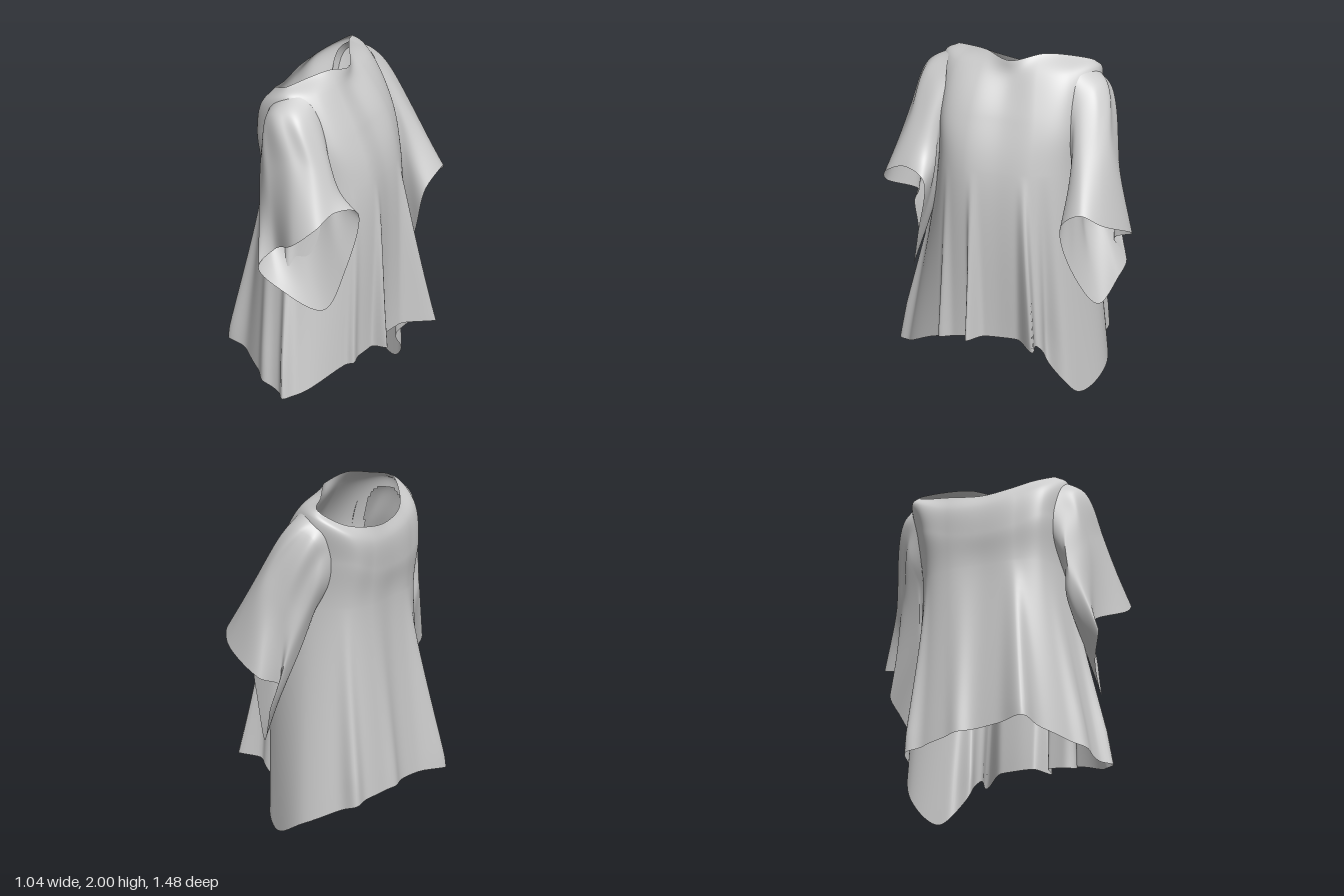
import * as THREE from 'three';

const cloth = new THREE.MeshStandardMaterial({ color: 0xcccccc, side: THREE.DoubleSide });

// Smooth open tube of cloth through closed rings of matching control points.
function loft(name, rings, cols, rows, shape, { flip = false, hole = () => false } = {}) {
  const loops = rings.map(r => new THREE.CatmullRomCurve3(r.map(p => new THREE.Vector3(...p)), true));
  const pos = [], index = [];
  for (let i = 0; i < cols; i++) {
    const column = new THREE.CatmullRomCurve3(loops.map(l => l.getPoint(i / cols)));
    for (let j = 0; j <= rows; j++) {
      const p = column.getPoint(j / rows);
      shape(p, i / cols, j / rows);
      pos.push(p.x, p.y, p.z);
      if (j === rows || hole(p)) continue;
      const a = i * (rows + 1) + j, b = ((i + 1) % cols) * (rows + 1) + j;
      if (flip) index.push(a, a + 1, b, b, a + 1, b + 1);
      else index.push(a, b, a + 1, b, b + 1, a + 1);
    }
  }
  const geo = new THREE.BufferGeometry();
  geo.setAttribute('position', new THREE.Float32BufferAttribute(pos, 3));
  geo.setIndex(index);
  geo.computeVertexNormals();
  const mesh = new THREE.Mesh(geo, cloth);
  mesh.name = name;
  return mesh;
}

// Rings run +x, +z, -x, -z in twelve steps, from the neckline to the hem.
const neck = [[.09, 1.97, 0], [.04, 2, .15], [-.04, 1.98, .27], [-.12, 1.95, .37],
  [-.23, 1.89, .28], [-.3, 1.83, .16], [-.32, 1.8, 0], [-.32, 1.82, -.2],
  [-.25, 1.87, -.38], [-.12, 1.95, -.44], [-.07, 1.98, -.32], [0, 2, -.18]];
const shoulder = [[.1, 1.89, 0], [.1, 1.91, .17], [.05, 1.91, .33], [-.1, 1.91, .44],
  [-.28, 1.82, .36], [-.34, 1.75, .2], [-.355, 1.72, 0], [-.355, 1.73, -.2],
  [-.31, 1.81, -.39], [-.12, 1.91, -.48], [.05, 1.91, -.35], [.1, 1.91, -.17]];
const chest = [[.23, 1.66, 0], [.24, 1.66, .2], [.17, 1.65, .37], [-.08, 1.65, .45],
  [-.31, 1.63, .36], [-.355, 1.57, .2], [-.36, 1.55, 0], [-.355, 1.57, -.2],
  [-.32, 1.63, -.36], [-.08, 1.65, -.46], [.17, 1.65, -.37], [.24, 1.66, -.2]];
const waist = [[.33, 1.35, 0], [.33, 1.35, .2], [.23, 1.35, .36], [-.05, 1.35, .44],
  [-.28, 1.35, .35], [-.34, 1.35, .2], [-.34, 1.35, 0], [-.34, 1.35, -.2],
  [-.28, 1.35, -.35], [-.05, 1.35, -.44], [.22, 1.35, -.36], [.32, 1.35, -.2]];
const hem = [[.33, .35, 0], [.32, .33, .18], [.24, .27, .4], [.03, .14, .62],
  [-.24, .21, .5], [-.44, .28, .26], [-.43, .28, 0], [-.43, .26, -.18],
  [-.36, .22, -.39], [-.08, .09, -.53], [.16, 0, -.44], [.36, .34, -.24]];

// Hanging folds: position around the ring, depth at the hem, width.
const folds = [[.7, .1, .13], [1.65, .04, .12], [3.1, .06, .12], [3.7, .03, .16], [5, .1, .25],
  [6.6, .02, .3], [8.05, .06, .18], [10.6, -.08, .2], [11.2, .17, .13]];

function drape(p, u) {
  const t = THREE.MathUtils.clamp((1.35 - p.y) / 1, 0, 1);
  let push = 0;
  for (const [at, depth, width] of folds) {
    push += depth * t ** 1.2 * Math.exp(-(((u * 12 - at) / width) ** 2));
  }
  const r = Math.hypot(p.x + .03, p.z);
  p.x += push * (p.x + .03) / r;
  p.z += push * p.z / r;
}

// The body is open where the sleeves join.
const inArmhole = p => Math.abs(p.z) > .3 && Math.hypot((p.x + .04) / .13, (p.y - 1.62) / .24) < 1;

// Sleeve rings run front, outside, back, underside, inside.
const leftSleeve = [
  [[.1, 1.78, .38], [.03, 1.89, .39], [-.08, 1.925, .41], [-.18, 1.87, .4],
    [-.24, 1.75, .39], [-.22, 1.5, .4], [-.05, 1.32, .42], [.1, 1.4, .39], [.14, 1.6, .37]],
  [[.14, 1.7, .43], [.05, 1.81, .51], [-.06, 1.84, .54], [-.17, 1.8, .52],
    [-.22, 1.65, .48], [-.22, 1.4, .45], [-.03, 1.2, .45], [.13, 1.3, .42], [.17, 1.5, .4]],
  [[.22, 1.5, .49], [.14, 1.57, .58], [.02, 1.59, .61], [-.13, 1.5, .58],
    [-.22, 1.37, .51], [-.21, 1.18, .48], [0, 1.05, .46], [.18, 1.15, .43], [.24, 1.36, .41]],
  [[.29, 1.32, .57], [.23, 1.25, .7], [.1, 1.14, .73], [-.08, 1.03, .6],
    [-.16, .92, .65], [-.05, .78, .59], [.2, .68, .54], [.31, .92, .48], [.37, 1.28, .43]],
];
// The right sleeve swings further forward and hangs lower.
const rightSleeve = [
  [[.1, 1.78, .38], [.03, 1.89, .4], [-.08, 1.925, .43], [-.18, 1.87, .43],
    [-.22, 1.75, .41], [-.18, 1.5, .41], [-.04, 1.32, .42], [.1, 1.4, .39], [.14, 1.6, .37]],
  [[.15, 1.7, .43], [.06, 1.81, .51], [-.05, 1.84, .54], [-.14, 1.8, .53],
    [-.18, 1.65, .5], [-.14, 1.4, .46], [.02, 1.2, .45], [.14, 1.3, .42], [.18, 1.5, .4]],
  [[.27, 1.47, .48], [.2, 1.52, .58], [.09, 1.54, .63], [-.03, 1.44, .61],
    [-.08, 1.3, .55], [-.04, 1.12, .49], [.08, 1, .46], [.2, 1.1, .43], [.26, 1.32, .41]],
  [[.42, 1.2, .53], [.36, 1.13, .64], [.09, .99, .74], [.03, .92, .61],
    [.04, .81, .69], [.08, .7, .65], [.16, .56, .56], [.3, .82, .43], [.38, 1.1, .4]],
].map(ring => ring.map(([x, y, z]) => [x, y, -z]));

// Soft diagonal creases that fade at both ends of the sleeve.
function crease(p, u, v) {
  const w = .01 * Math.sin(Math.PI * v) ** 2 * Math.sin(u * Math.PI * 14 + v * 6) * Math.sin(u * Math.PI);
  p.z += w;
  p.x += w * .6;
}

export function createModel() {
  const garment = new THREE.Group();
  garment.name = 'drapedTop';
  garment.add(loft('body', [neck, shoulder, chest, waist, hem], 288, 72, drape, { hole: inArmhole }));
  garment.add(loft('leftSleeve', leftSleeve, 108, 36, crease));
  garment.add(loft('rightSleeve', rightSleeve, 108, 36, crease, { flip: true }));
  return garment;
}
